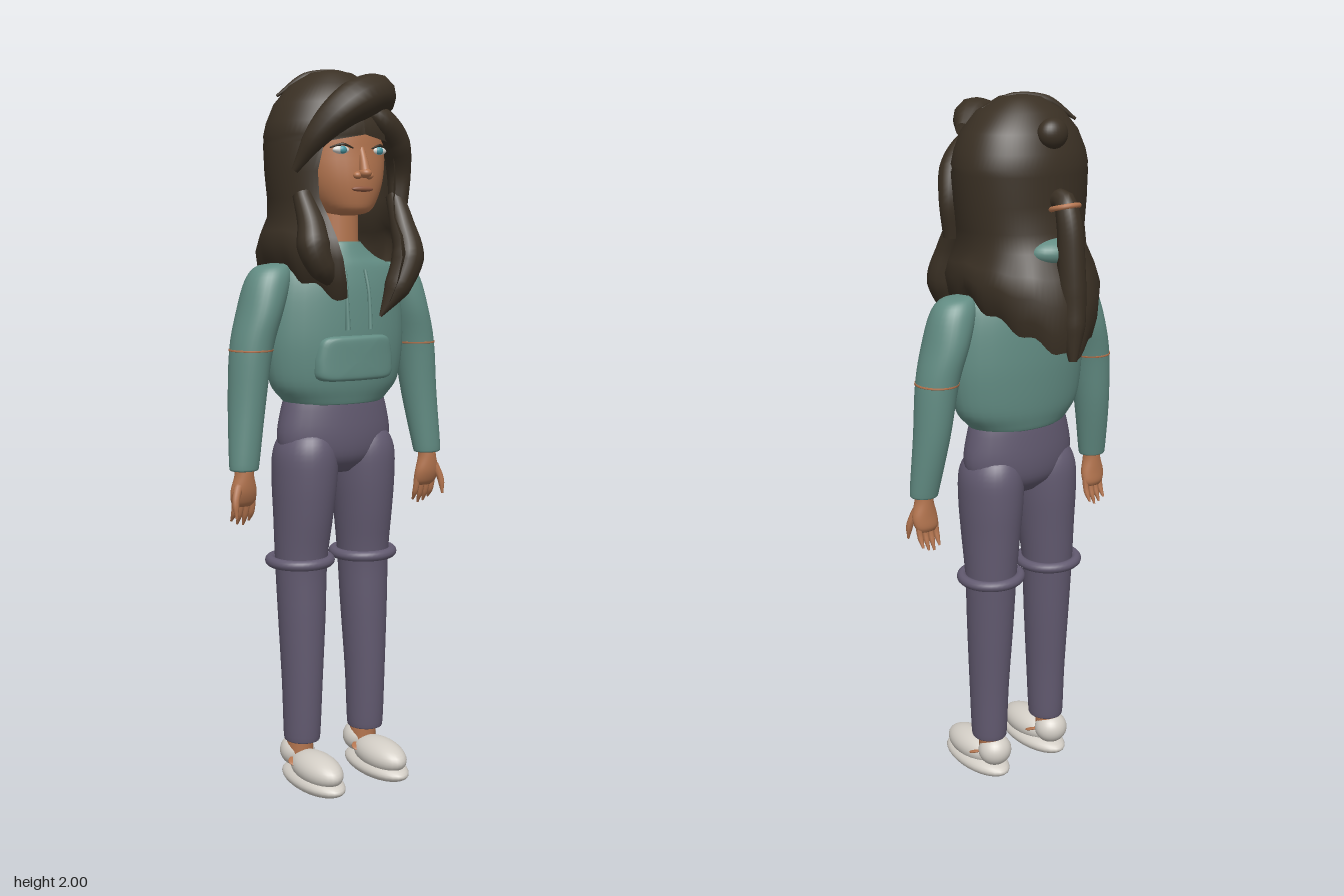
import * as THREE from 'three';
import { mergeVertices } from 'three/addons/utils/BufferGeometryUtils.js';

const mat = (name, color, side = THREE.FrontSide) => {
  const m = new THREE.MeshStandardMaterial({ color, side });
  m.name = name;
  return m;
};

// Grid of points, rows running downwards and columns running front -> +x -> back
function grid(rows, cols, closed, point, caps) {
  const pos = [], idx = [];
  const w = closed ? cols : cols + 1;
  for (let i = 0; i <= rows; i++) for (let j = 0; j < w; j++) pos.push(...point(i / rows, j / cols));
  for (let i = 0; i < rows; i++) for (let j = 0; j < cols; j++) {
    const a = i * w + j, d = i * w + (j + 1) % w;
    idx.push(a, a + w, d, a + w, d + w, d);
  }
  if (caps) for (const i of [0, rows]) {
    const c = pos.length / 3, p = point(i / rows, 0), q = point(i / rows, 0.5);
    pos.push((p[0] + q[0]) / 2, p[1], (p[2] + q[2]) / 2);
    for (let j = 0; j < cols; j++) {
      const a = i * w + j, b = i * w + (j + 1) % w;
      idx.push(...(i ? [c, b, a] : [c, a, b]));
    }
  }
  const g = new THREE.BufferGeometry();
  g.setAttribute('position', new THREE.Float32BufferAttribute(pos, 3));
  g.setIndex(idx);
  g.computeVertexNormals();
  return g;
}

// Smooth body from elliptical sections [y, cx, cz, rx, rz], listed from top to bottom
function loft(sections, s = 1) {
  const c = new THREE.CatmullRomCurve3(sections.map(r => new THREE.Vector3(r[1] * s, r[0], r[2])), false, 'catmullrom');
  const r = new THREE.CatmullRomCurve3(sections.map(q => new THREE.Vector3(q[3], 0, q[4])), false, 'catmullrom');
  return grid((sections.length - 1) * 4, 32, true, (u, v) => {
    const p = c.getPoint(u), q = r.getPoint(u), a = v * Math.PI * 2;
    return [p.x + q.x * Math.sin(a), p.y, p.z + q.z * Math.cos(a)];
  }, true);
}

// Tapered tube through points, with radii spread evenly along it
function strand(points, radii, n = 24, sides = 12) {
  const curve = new THREE.CatmullRomCurve3(points.map(p => new THREE.Vector3(...p)));
  let g = new THREE.TubeGeometry(curve, n, 1, sides);
  const p = g.attributes.position, v = new THREE.Vector3();
  for (let k = 0; k < p.count; k++) {
    const t = Math.floor(k / (sides + 1)) / n, c = curve.getPointAt(t);
    const f = t * (radii.length - 1), i = Math.min(Math.floor(f), radii.length - 2);
    const r = THREE.MathUtils.lerp(radii[i], radii[i + 1], f - i);
    v.fromBufferAttribute(p, k).sub(c).multiplyScalar(r).add(c);
    p.setXYZ(k, v.x, v.y, v.z);
  }
  g.deleteAttribute('uv');
  g.deleteAttribute('normal');
  g = mergeVertices(g, 1e-5);
  g.computeVertexNormals();
  return g;
}

const ball = (c, r) => new THREE.SphereGeometry(1, 28, 18).scale(...r).translate(...c);

// Hair shell: [y, rx, front rz, back rz, face opening angle, hanging amount]
const HAIR = [
  [1.995, 0.005, 0.005, 0.005, 0], [1.985, 0.06, 0.055, 0.05, 0], [1.95, 0.12, 0.11, 0.1, 0],
  [1.9, 0.165, 0.145, 0.13, 0], [1.85, 0.186, 0.16, 0.15, 0], [1.815, 0.194, 0.167, 0.156, 0],
  [1.795, 0.194, 0.167, 0.157, 0.6], [1.72, 0.19, 0.165, 0.157, 0.7], [1.65, 0.18, 0.17, 0.16, 0.72],
  [1.6, 0.174, 0.19, 0.182, 0.65, 0], [1.6, 0.188, 0.222, 0.215, 0.57, 0.25], [1.6, 0.197, 0.235, 0.238, 0.5, 0.5],
  [1.6, 0.187, 0.222, 0.238, 0.44, 0.8], [1.6, 0.172, 0.2, 0.228, 0.4, 1],
];
function hairHem(t) {
  const a = t > Math.PI ? 2 * Math.PI - t : t;
  const k = [[0, 1.38], [0.45, 1.38], [1, 1.43], [1.57, 1.47], [2.2, 1.41], [2.7, 1.36], [3.15, 1.32]];
  let i = 0;
  while (i < k.length - 2 && a > k[i + 1][0]) i++;
  const y = THREE.MathUtils.mapLinear(a, k[i][0], k[i + 1][0], k[i][1], k[i + 1][1]);
  return y + 0.01 * Math.sin(t * 13);
}
const hairShell = () => grid(HAIR.length - 1, 72, false, (u, v) => {
  const [y, rx, zf, zb, open, hang = 0] = HAIR[Math.round(u * (HAIR.length - 1))];
  const t = open + v * (2 * Math.PI - 2 * open), c = Math.cos(t);
  return [rx * Math.sin(t), THREE.MathUtils.lerp(y, hairHem(t), hang), 0.02 + c * (c > 0 ? zf : zb)];
});

export function createModel() {
  const root = new THREE.Group();
  root.name = 'figure';
  const skin = mat('skin', 0xb4754f), teal = mat('hoodie teal', 0x628c83), pants = mat('trouser purple', 0x625a70);
  const hair = mat('hair brown', 0x3a3024, THREE.DoubleSide), shoe = mat('shoe white', 0xd3cec6);
  const white = mat('eye white', 0xd8d8d4), iris = mat('iris blue', 0x4a98a4), lip = mat('lip brown', 0x8f5840);
  const add = (name, geo, m) => {
    const o = new THREE.Mesh(geo, m);
    o.name = name;
    root.add(o);
    return o;
  };

  // Head and face
  add('head', loft([[1.94, 0, 0.03, 0.06, 0.06], [1.85, 0, 0.035, 0.128, 0.128], [1.77, 0, 0.05, 0.13, 0.125],
    [1.7, 0, 0.06, 0.118, 0.12], [1.645, 0, 0.08, 0.09, 0.094], [1.615, 0, 0.095, 0.06, 0.066], [1.605, 0, 0.1, 0.02, 0.02]]), skin);
  add('neck', new THREE.CylinderGeometry(0.062, 0.066, 0.18, 28).translate(0, 1.56, 0.04), skin);
  add('noseBridge', strand([[0, 1.785, 0.165], [0, 1.75, 0.178], [0, 1.715, 0.187]], [0.008, 0.011, 0.015]), skin);
  add('noseTip', ball([0, 1.715, 0.186], [0.017, 0.013, 0.02]), skin);
  add('lips', ball([0, 1.674, 0.174], [0.034, 0.008, 0.01]), lip);

  // Hoodie
  add('hoodieBody', loft([[1.535, 0, 0.04, 0.072, 0.066], [1.525, 0, 0.04, 0.08, 0.072], [1.495, 0, 0.04, 0.12, 0.085],
    [1.465, 0, 0.038, 0.18, 0.1], [1.4, 0, 0.038, 0.205, 0.113], [1.3, 0, 0.038, 0.215, 0.119], [1.22, 0, 0.038, 0.212, 0.117],
    [1.15, 0, 0.037, 0.198, 0.11], [1.11, 0, 0.036, 0.165, 0.1], [1.095, 0, 0.036, 0.15, 0.095]]), teal);
  add('hood', ball([0, 1.6, -0.125], [0.085, 0.04, 0.062]), teal);
  const s = new THREE.Shape();
  s.moveTo(-0.118, 1.165).lineTo(0.118, 1.165).lineTo(0.12, 1.24).lineTo(0.1, 1.28);
  s.lineTo(-0.1, 1.28).lineTo(-0.12, 1.24).closePath();
  // Several stacked strips let the pocket bend round the belly
  const pocket = grid(10, 40, true, (u, v) => {
    const a = v * Math.PI * 2, sq = (q) => Math.sign(q) * Math.abs(q) ** 0.3;
    const k = Math.sin(Math.max(0.02, u * 0.98) * Math.PI / 2) ** 0.5;
    const sy = sq(Math.cos(a)), x = k * sq(Math.sin(a)) * (0.124 - Math.max(0, -sy) * 0.014);
    return [x, 1.223 - 0.062 * k * sy, 0.174 - 0.03 * u ** 5 - 1.4 * x * x];
  }, true);
  add('frontPocket', pocket, teal);
  for (const x of [-0.036, 0.036])
    add('drawstring', strand([[x * 0.9, 1.46, 0.14], [x, 1.4, 0.154], [x, 1.3, 0.162]], [0.005, 0.005, 0.007]), teal);

  // Hips
  add('hips', loft([[1.13, 0, 0.035, 0.145, 0.088], [1.08, 0, 0.035, 0.163, 0.095], [1.0, 0, 0.035, 0.176, 0.099],
    [0.94, 0, 0.035, 0.15, 0.088], [0.9, 0, 0.035, 0.06, 0.05]]), pants);

  for (const m of [-1, 1]) {
    // Eyes
    add('eye', ball([m * 0.058, 1.775, 0.16], [0.027, 0.011, 0.012]), white);
    add('iris', ball([m * 0.058, 1.775, 0.167], [0.012, 0.01, 0.008]), iris);
    add('eyelid', strand([[m * 0.03, 1.78, 0.174], [m * 0.058, 1.789, 0.17], [m * 0.088, 1.781, 0.15]], [0.002, 0.004, 0.002]), hair);
    add('nostril', ball([m * 0.018, 1.709, 0.177], [0.013, 0.01, 0.012]), skin);

    // Sleeves, elbow seams and hands
    add('sleeve', loft([[1.478, 0.185, 0.04, 0.02, 0.02], [1.468, 0.2, 0.04, 0.048, 0.045], [1.43, 0.215, 0.04, 0.062, 0.064],
      [1.35, 0.24, 0.04, 0.06, 0.073], [1.25, 0.268, 0.042, 0.057, 0.064], [1.1, 0.286, 0.047, 0.05, 0.053],
      [0.95, 0.303, 0.062, 0.042, 0.038], [0.93, 0.304, 0.063, 0.038, 0.034]], m), teal);
    add('elbowSeam', loft([[1.252, 0.268, 0.042, 0.0585, 0.0655], [1.247, 0.269, 0.042, 0.0585, 0.0655]], m), skin);
    add('hand', loft([[0.95, 0.304, 0.063, 0.026, 0.024], [0.915, 0.305, 0.064, 0.027, 0.025], [0.875, 0.306, 0.062, 0.038, 0.024],
      [0.845, 0.304, 0.056, 0.036, 0.019], [0.83, 0.303, 0.053, 0.025, 0.01]], m), skin);
    for (let i = 0; i < 4; i++) {
      const x = 0.276 + i * 0.018, end = 0.772 + 0.01 * Math.abs(i - 1.3);
      add('finger', strand([[m * x, 0.86, 0.058], [m * (x - 0.001), 0.815, 0.05], [m * x, end, 0.035]], [0.01, 0.009, 0.008, 0.003], 12, 8), skin);
    }
    add('thumb', strand([[m * 0.325, 0.89, 0.07], [m * 0.341, 0.85, 0.082], [m * 0.343, 0.805, 0.09]], [0.014, 0.011, 0.009, 0.003], 12, 8), skin);

    // Trouser legs with knee rings
    add('trouserLeg', loft([[1.03, 0.09, 0.035, 0.03, 0.04], [1.01, 0.092, 0.036, 0.066, 0.078], [0.96, 0.095, 0.036, 0.087, 0.099],
      [0.88, 0.097, 0.035, 0.088, 0.1], [0.78, 0.1, 0.033, 0.081, 0.091], [0.65, 0.104, 0.028, 0.072, 0.077],
      [0.5, 0.105, 0.032, 0.066, 0.071], [0.3, 0.107, 0.037, 0.056, 0.062], [0.15, 0.108, 0.037, 0.051, 0.055],
      [0.135, 0.108, 0.037, 0.046, 0.05]], m), pants);
    add('kneeRing', new THREE.TorusGeometry(0.083, 0.015, 12, 40).rotateX(Math.PI / 2).translate(m * 0.106, 0.652, 0.025), pants);

    // Shoes
    add('ankle', new THREE.CylinderGeometry(0.038, 0.038, 0.08, 20).translate(m * 0.108, 0.11, 0.025), skin);
    add('shoeSole', ball([m * 0.108, 0.032, 0.097], [0.063, 0.032, 0.136]), shoe);
    add('shoeUpper', ball([m * 0.108, 0.068, 0.115], [0.056, 0.046, 0.108]), shoe);
    add('shoeHeel', ball([m * 0.108, 0.092, 0.01], [0.05, 0.046, 0.048]), shoe);
    add('shoeOpening', ball([0, 0, 0], [0.057, 0.007, 0.03]).rotateX(0.35).translate(m * 0.108, 0.078, 0.058), skin);
  }

  // Hair: shell, fringe, front locks, bun and ponytail
  add('hairShell', hairShell(), hair);
  add('fringeSweep', strand([[0.13, 1.9, 0.1], [0.06, 1.925, 0.15], [-0.04, 1.89, 0.168], [-0.115, 1.82, 0.145], [-0.165, 1.72, 0.1]],
    [0.02, 0.052, 0.057, 0.045, 0.03, 0.01]), hair);
  add('fringeSide', strand([[0.0, 1.9, 0.14], [0.07, 1.855, 0.16], [0.13, 1.8, 0.14], [0.16, 1.72, 0.115], [0.155, 1.62, 0.12]],
    [0.02, 0.035, 0.04, 0.033, 0.025]), hair);
  add('leftLock', strand([[0.15, 1.66, 0.11], [0.148, 1.58, 0.15], [0.15, 1.5, 0.175], [0.115, 1.42, 0.18], [0.062, 1.335, 0.172]],
    [0.025, 0.034, 0.045, 0.036, 0.004]), hair);
  add('rightLock', strand([[-0.15, 1.66, 0.11], [-0.146, 1.58, 0.15], [-0.15, 1.51, 0.175], [-0.12, 1.455, 0.18], [-0.075, 1.415, 0.172]],
    [0.025, 0.034, 0.045, 0.036, 0.006]), hair);
  add('topStrand', strand([[-0.13, 1.925, -0.05], [-0.06, 1.975, -0.015], [0.03, 1.982, 0.025], [0.1, 1.955, 0.055]],
    [0.004, 0.013, 0.013, 0.004]), hair);
  add('bun', ball([0, 1.9, -0.113], [0.044, 0.04, 0.034]), hair);
  add('ponytail', strand([[0, 1.73, -0.12], [0, 1.735, -0.16], [0, 1.68, -0.183], [0, 1.58, -0.192], [0, 1.45, -0.2], [0.01, 1.32, -0.215]],
    [0.025, 0.034, 0.037, 0.038, 0.034, 0.012], 32), hair);
  add('hairTie', new THREE.TorusGeometry(0.036, 0.007, 10, 28).rotateX(Math.PI / 2 + 0.25).translate(0, 1.718, -0.165), skin);
  return root;
}
